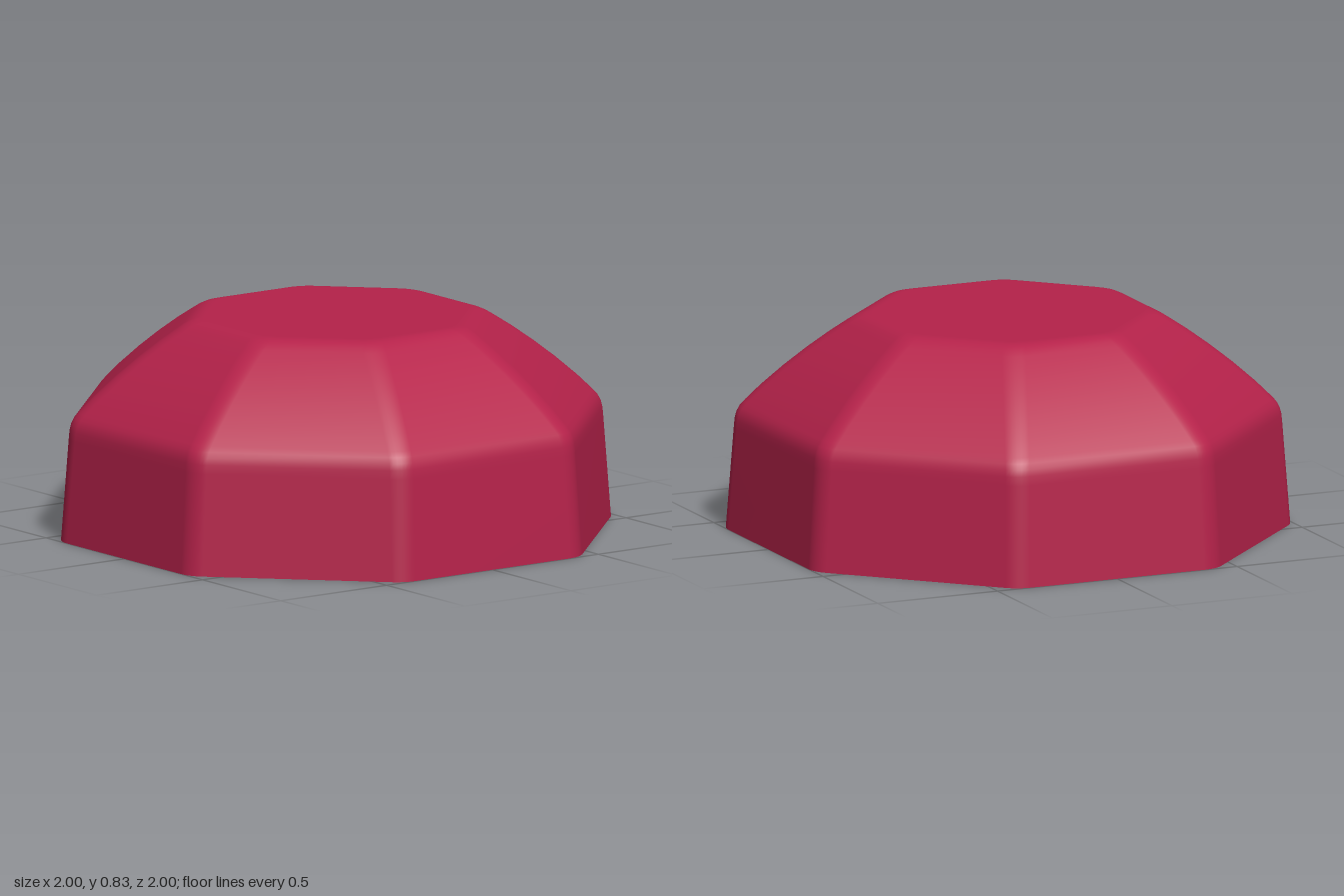
import * as THREE from 'three';

const SIDES = 8, ARC = 6, STEP = (Math.PI * 2) / SIDES;

// Outline of an octagon with rounded corners; apothem is the distance to a flat side
function octagonRing(apothem, y, radius) {
  const points = [];
  const reach = (apothem - radius) / Math.cos(STEP / 2);
  for (let k = 0; k < SIDES; k++) {
    const mid = (k + 0.5) * STEP;
    for (let i = 0; i <= ARC; i++) {
      const t = (k + i / ARC) * STEP;
      points.push([reach * Math.cos(mid) + radius * Math.cos(t), y, reach * Math.sin(mid) + radius * Math.sin(t)]);
    }
  }
  return points;
}

// Joins the rings from rim to crown and closes the top with a fan
function shellGeometry(profile) {
  const rings = profile.map(([a, y]) => octagonRing(a, y, 0.12));
  const n = rings[0].length;
  const positions = rings.flat(2);
  const index = [];
  for (let j = 0; j < rings.length - 1; j++) {
    for (let i = 0; i < n; i++) {
      const a = j * n + i, c = j * n + ((i + 1) % n);
      index.push(a, a + n, c, c, a + n, c + n);
    }
  }
  const centre = rings.length * n, last = centre - n;
  positions.push(0, profile[profile.length - 1][1], 0);
  for (let i = 0; i < n; i++) index.push(last + i, centre, last + ((i + 1) % n));

  const geometry = new THREE.BufferGeometry();
  geometry.setAttribute('position', new THREE.Float32BufferAttribute(positions, 3));
  geometry.setIndex(index);
  geometry.computeVertexNormals();
  return geometry;
}

export function createModel() {
  const group = new THREE.Group();
  group.name = 'octagonalCap';

  // Leaning wall, rounded shoulder, bulging slope, rounded crown edge, flat top
  const profile = [
    [1, 0], [0.972, 0.39], [0.969, 0.425], [0.963, 0.45], [0.952, 0.472], [0.935, 0.492],
    [0.88, 0.55], [0.8, 0.625], [0.72, 0.693], [0.64, 0.755],
    [0.58, 0.797], [0.555, 0.814], [0.532, 0.825], [0.51, 0.831], [0.485, 0.833],
  ];
  const material = new THREE.MeshStandardMaterial({ color: 0xb5224a, side: THREE.DoubleSide });
  const shell = new THREE.Mesh(shellGeometry(profile), material);
  shell.name = 'shell';
  group.add(shell);
  return group;
}
